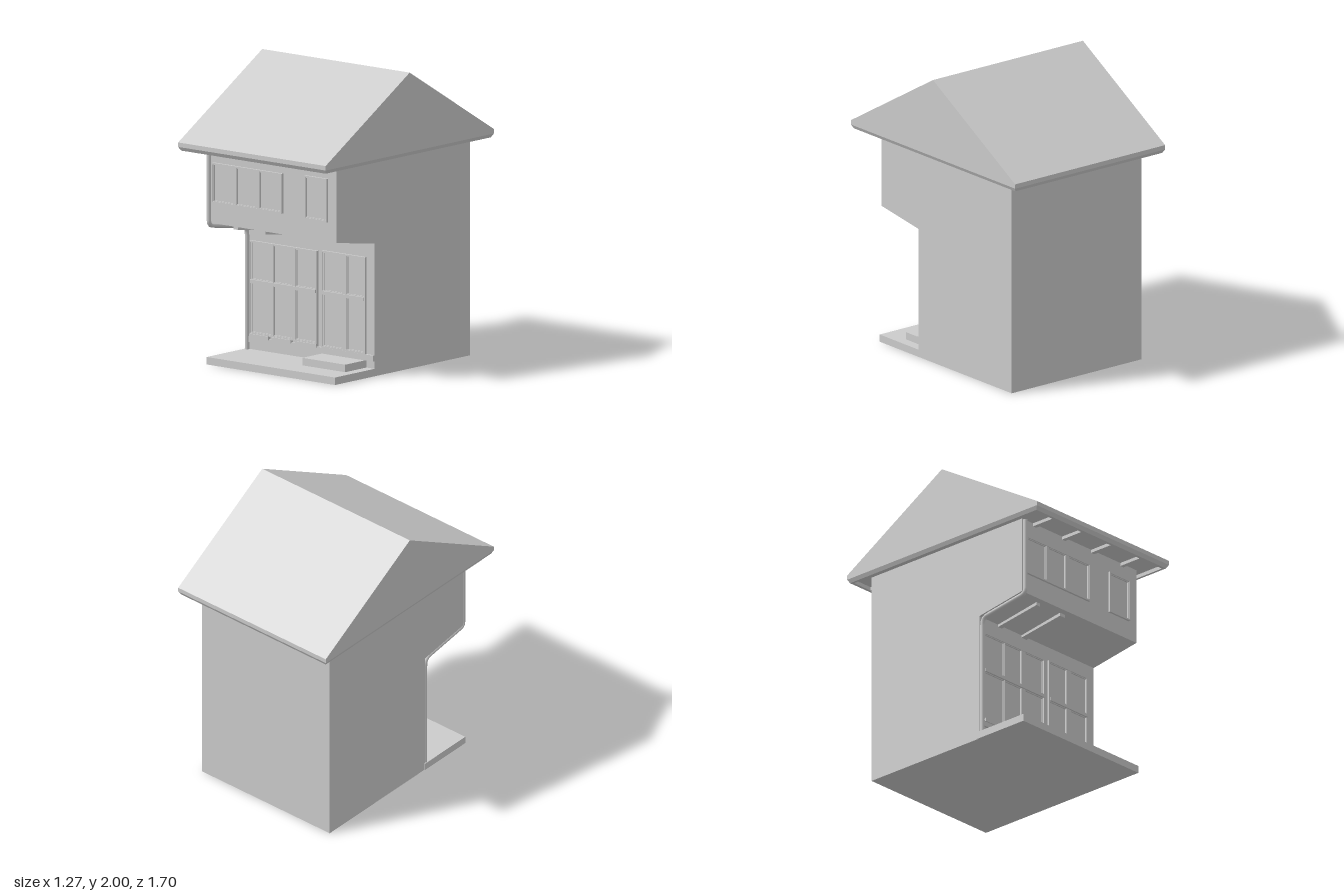
import * as THREE from 'three';

const mat = new THREE.MeshStandardMaterial({ color: 0xcccccc, flatShading: true });
const smooth = new THREE.MeshStandardMaterial({ color: 0xcccccc });

export function createModel() {
  const house = new THREE.Group();
  house.name = 'house';

  const add = (name, geometry, parent = house, material = mat) => {
    const mesh = new THREE.Mesh(geometry, material);
    mesh.name = name;
    parent.add(mesh);
    return mesh;
  };

  // Box given by its limits on each axis
  const box = (name, x0, x1, y0, y1, z0, z1, parent) => {
    const mesh = add(name, new THREE.BoxGeometry(x1 - x0, y1 - y0, z1 - z0), parent);
    mesh.position.set((x0 + x1) / 2, (y0 + y1) / 2, (z0 + z1) / 2);
    return mesh;
  };

  // Side profile of [z, y] points, extruded across x
  const sideExtrude = (name, points, x0, x1) => {
    const shape = new THREE.Shape(points.map(([z, y]) => new THREE.Vector2(-z, y)));
    const geometry = new THREE.ExtrudeGeometry(shape, { depth: x1 - x0, bevelEnabled: false });
    geometry.rotateY(Math.PI / 2).translate(x0, 0, 0);
    return add(name, geometry);
  };

  // Walls, with the upper storey jutting out over the entrance
  const wallZ = 0.255, upperZ = 0.638;
  sideExtrude('walls', [
    [-0.71, 0], [wallZ, 0], [wallZ, 0.885], [upperZ, 0.945], [upperZ, 1.475], [-0.71, 1.475],
  ], -0.55, 0.55);

  // Ground slab, door step and plinth
  box('porchSlab', -0.555, 0.55, 0, 0.05, wallZ - 0.01, 0.655);
  box('doorStep', 0.11, 0.48, 0.05, 0.1, wallZ - 0.01, 0.47);
  box('plinth', -0.52, 0.55, 0.1, 0.14, wallZ - 0.01, 0.272);

  // Solid gable roof above the soffit
  sideExtrude('roof', [[0, 2], [-0.85, 1.5], [-0.85, 1.47], [0.85, 1.47], [0.85, 1.5]], -0.635, 0.635);

  // Tapered rim hanging under the roof, open in the middle
  const ring = (w, d, y) => [[-w, y, -d], [w, y, -d], [w, y, d], [-w, y, d]];
  const rings = [ring(0.635, 0.85, 1.47), ring(0.622, 0.835, 1.445), ring(0.605, 0.815, 1.445), ring(0.605, 0.815, 1.47)];
  const rim = [];
  for (let r = 0; r < 3; r++) {
    for (let i = 0; i < 4; i++) {
      const j = (i + 1) % 4;
      const a = rings[r][i], b = rings[r][j], c = rings[r + 1][j], d = rings[r + 1][i];
      rim.push(...a, ...b, ...c, ...a, ...c, ...d);
    }
  }
  const rimGeometry = new THREE.BufferGeometry();
  rimGeometry.setAttribute('position', new THREE.Float32BufferAttribute(rim, 3));
  rimGeometry.computeVertexNormals();
  const rimMat = mat.clone();
  rimMat.side = THREE.DoubleSide;
  add('eaveRim', rimGeometry, house, rimMat);

  // Rafter ends under the front and back eaves
  for (const x of [-0.43, -0.15, 0.13, 0.41]) {
    box('backRafter', x - 0.015, x + 0.015, 1.448, 1.475, -0.815, -0.7);
    box('frontRafter', x - 0.015, x + 0.015, 1.448, 1.475, 0.63, 0.815);
  }

  // Framed opening: raised border, slim inner frames per pane, optional transom
  const windowUnit = (name, x0, x1, y0, y1, z, panes, transom) => {
    const unit = new THREE.Group();
    unit.name = name;
    house.add(unit);
    const frame = (part, a, b, c, d, t, depth) => {
      const shape = new THREE.Shape([[a, c], [b, c], [b, d], [a, d]].map(p => new THREE.Vector2(...p)));
      shape.holes.push(new THREE.Path(
        [[a + t, c + t], [a + t, d - t], [b - t, d - t], [b - t, c + t]].map(p => new THREE.Vector2(...p))));
      const geometry = new THREE.ExtrudeGeometry(shape, { depth, bevelEnabled: false });
      add(part, geometry.translate(0, 0, z), unit);
    };
    frame('outerFrame', x0, x1, y0, y1, 0.01, 0.016);
    const rows = transom ? [[y0 + 0.01, transom - 0.01], [transom + 0.012, y1 - 0.01]] : [[y0 + 0.01, y1 - 0.01]];
    for (const [a, b] of panes) for (const [c, d] of rows) frame('paneFrame', a, b, c, d, 0.005, 0.009);
    // Mullions fill the gaps between panes
    for (let i = 1; i < panes.length; i++) {
      box('mullion', panes[i - 1][1], panes[i][0], y0 + 0.01, y1 - 0.01, z - 0.01, z + 0.013, unit);
    }
    if (transom) box('transom', x0 + 0.008, x1 - 0.008, transom - 0.01, transom + 0.012, z - 0.01, z + 0.022, unit);
  };

  windowUnit('shopWindow', -0.515, 0.065, 0.155, 0.778, wallZ,
    [[-0.505, -0.32], [-0.312, -0.155], [-0.12, 0.055]], 0.507);
  windowUnit('doubleDoor', 0.105, 0.48, 0.14, 0.787, wallZ,
    [[0.115, 0.28], [0.318, 0.47]], 0.507);
  windowUnit('upperWideWindow', -0.515, 0.09, 1.085, 1.352, upperZ,
    [[-0.505, -0.33], [-0.305, -0.14], [-0.108, 0.08]]);
  windowUnit('upperSmallWindow', 0.28, 0.476, 1.075, 1.365, upperZ, [[0.29, 0.466]]);

  // Sill in three pieces below the large window
  for (const [a, b] of [[-0.512, -0.345], [-0.315, -0.155], [-0.115, 0.065]]) {
    box('windowSill', a, b, 0.133, 0.157, wallZ - 0.01, 0.28);
  }

  // Sloping brackets under the overhang
  for (const x of [-0.352, -0.12]) {
    const w = x < -0.2 ? 0.018 : 0.024;
    sideExtrude('overhangBracket', [[0.255, 0.9], [0.255, 0.868], [0.6, 0.917], [0.6, 0.95]], x - w, x + w);
  }

  // Drainpipe following the front of the house, with rounded elbows
  const V = (z, y) => new THREE.Vector3(-0.536, y, z);
  const path = new THREE.CurvePath();
  path.add(new THREE.LineCurve3(V(0.655, 1.46), V(0.655, 0.96)));
  path.add(new THREE.QuadraticBezierCurve3(V(0.655, 0.96), V(0.655, 0.93), V(0.62, 0.925)));
  path.add(new THREE.LineCurve3(V(0.62, 0.925), V(0.31, 0.877)));
  path.add(new THREE.QuadraticBezierCurve3(V(0.31, 0.877), V(0.27, 0.87), V(0.27, 0.81)));
  path.add(new THREE.LineCurve3(V(0.27, 0.81), V(0.27, 0.05)));
  add('drainpipe', new THREE.TubeGeometry(path, 90, 0.015, 12), house, smooth);

  return house;
}
